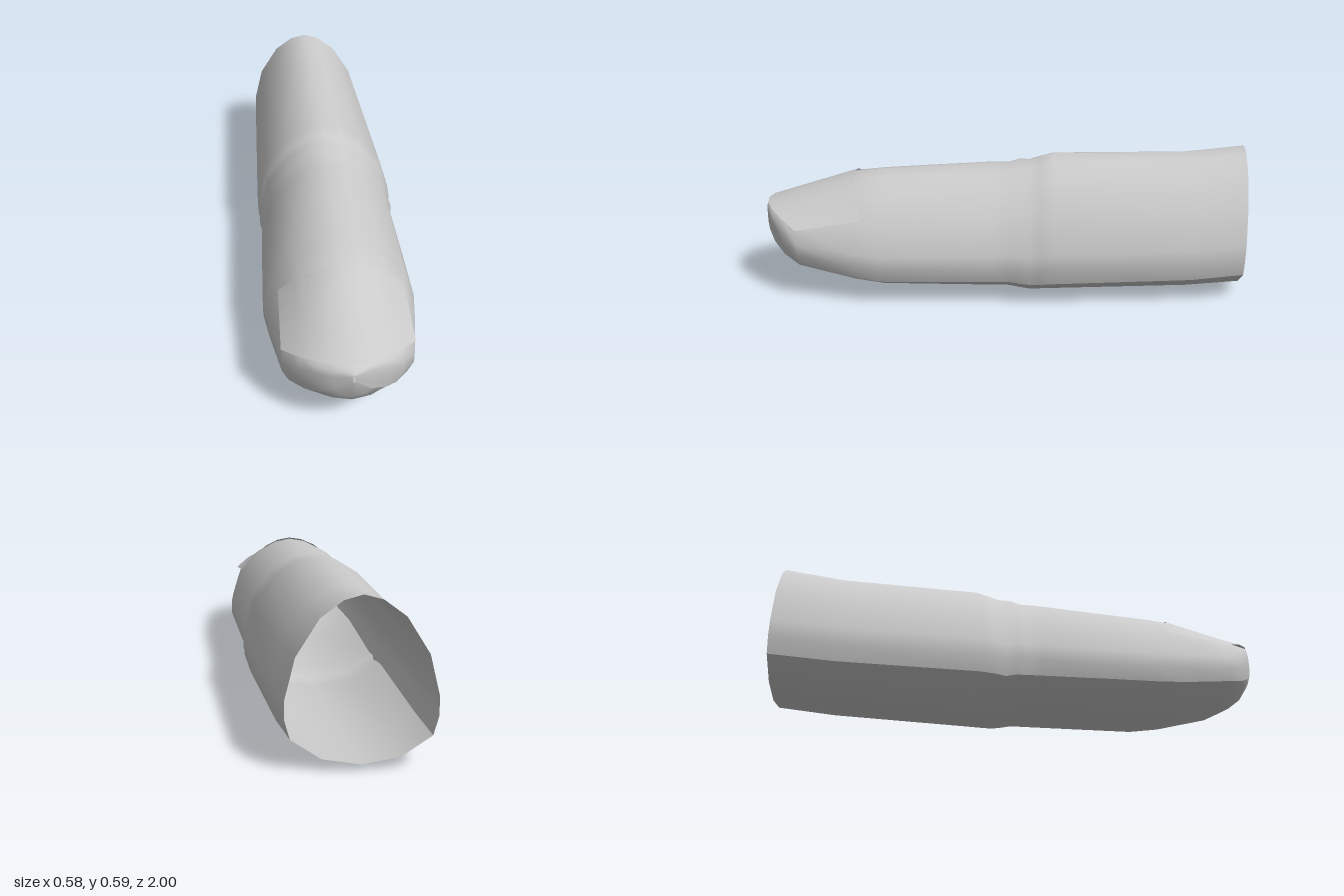
import * as THREE from 'three';

const material = new THREE.MeshStandardMaterial({ color: 0xcccccc, side: THREE.DoubleSide });

// Half outlines, bottom centre to top centre: [share of half width, share of height]
const BODY = [[0, 0], [0.52, 0.04], [0.93, 0.165], [1, 0.28], [1, 0.4], [0.86, 0.65], [0.55, 0.87], [0.25, 0.97], [0, 1]];
const TIP = [[0, 0], [0.5, 0.08], [0.85, 0.25], [1, 0.5], [1, 0.7], [0.97, 0.88], [0.6, 0.95], [0.3, 0.98], [0, 1]];
const CORNER = 2;

// Cross-sections, back to front: [z, bottom, top, centre x, half width, share of TIP outline]
const SECTIONS = [
  [-0.98, 0.028, 0.597, -0.02, 0.25, 0],
  [-0.75, 0.015, 0.572, -0.013, 0.264, 0],
  [-0.2, 0.008, 0.567, 0, 0.288, 0],
  [-0.14, 0.006, 0.55, 0, 0.286, 0],
  [-0.1, 0.004, 0.538, 0, 0.277, 0],
  [-0.06, 0.012, 0.54, 0, 0.283, 0],
  [-0.02, 0.02, 0.526, 0, 0.275, 0],
  [0.05, 0.021, 0.526, 0, 0.277, 0],
  [0.3, 0.026, 0.51, 0, 0.285, 0],
  [0.5, 0.03, 0.497, 0, 0.29, 0],
  [0.62, 0.045, 0.485, 0, 0.273, 0.05],
  [0.83, 0.095, 0.41, 0, 0.236, 0.3],
  [0.9, 0.125, 0.39, 0, 0.185, 0.6],
  [0.95, 0.165, 0.372, 0, 0.132, 1],
  [0.982, 0.215, 0.362, 0, 0.07, 1],
  [1, 0.3, 0.34, 0, 0.004, 1],
];

// Smooth sheet through rows of points
function sheet(name, rows) {
  const n = rows[0].length;
  const index = [];
  for (let i = 0; i < rows.length - 1; i++) {
    for (let j = 0; j < n - 1; j++) {
      const a = i * n + j, d = a + n;
      index.push(a, a + 1, d + 1, a, d + 1, d);
    }
  }
  const geometry = new THREE.BufferGeometry();
  geometry.setAttribute('position', new THREE.Float32BufferAttribute(rows.flat(2), 3));
  geometry.setIndex(index);
  geometry.computeVertexNormals();
  const mesh = new THREE.Mesh(geometry, material);
  mesh.name = name;
  return mesh;
}

// Point of a cross-section; side is +1 or -1
function sectionPoint([z, bottom, top, cx, w, tip], k, side) {
  const u = THREE.MathUtils.lerp(BODY[k][0], TIP[k][0], tip) * side;
  const v = THREE.MathUtils.lerp(BODY[k][1], TIP[k][1], tip);
  const slant = z < -0.9 ? 0.018 * u : 0; // cut end is slightly skewed
  return [cx + u * w, bottom + v * (top - bottom), z + slant];
}

export function createModel() {
  const group = new THREE.Group();
  group.name = 'finger';
  const last = BODY.length - 1;

  // Upper skin runs over the top between the two lower corners
  group.add(sheet('upperSkin', SECTIONS.map((s) => {
    const row = [];
    for (let k = CORNER; k <= last; k++) row.push(sectionPoint(s, k, 1));
    for (let k = last - 1; k >= CORNER; k--) row.push(sectionPoint(s, k, -1));
    return row;
  })));

  // Underside pad, split off so the lower edges stay crisp
  group.add(sheet('undersidePad', SECTIONS.map((s) => {
    const row = [];
    for (let k = CORNER; k > 0; k--) row.push(sectionPoint(s, k, -1));
    for (let k = 0; k <= CORNER; k++) row.push(sectionPoint(s, k, 1));
    return row;
  })));

  // Arched nail from the cuticle to the rounded free edge
  const nailRows = [];
  for (let i = 0; i <= 4; i++) {
    const row = [];
    for (let k = 4; k >= -4; k--) {
      const u = k / 4, a = Math.abs(u);
      const cuticle = new THREE.Vector3(0.232 * u, 0.49 - 0.14 * a * a, 0.62 - 0.05 * a * a);
      const edge = new THREE.Vector3(0.236 * u, 0.372 - 0.062 * a ** 2.5, 0.988 - 0.155 * a * a);
      row.push(cuticle.lerp(edge, i / 4).toArray());
    }
    nailRows.push(row);
  }
  group.add(sheet('nail', nailRows));

  return group;
}
